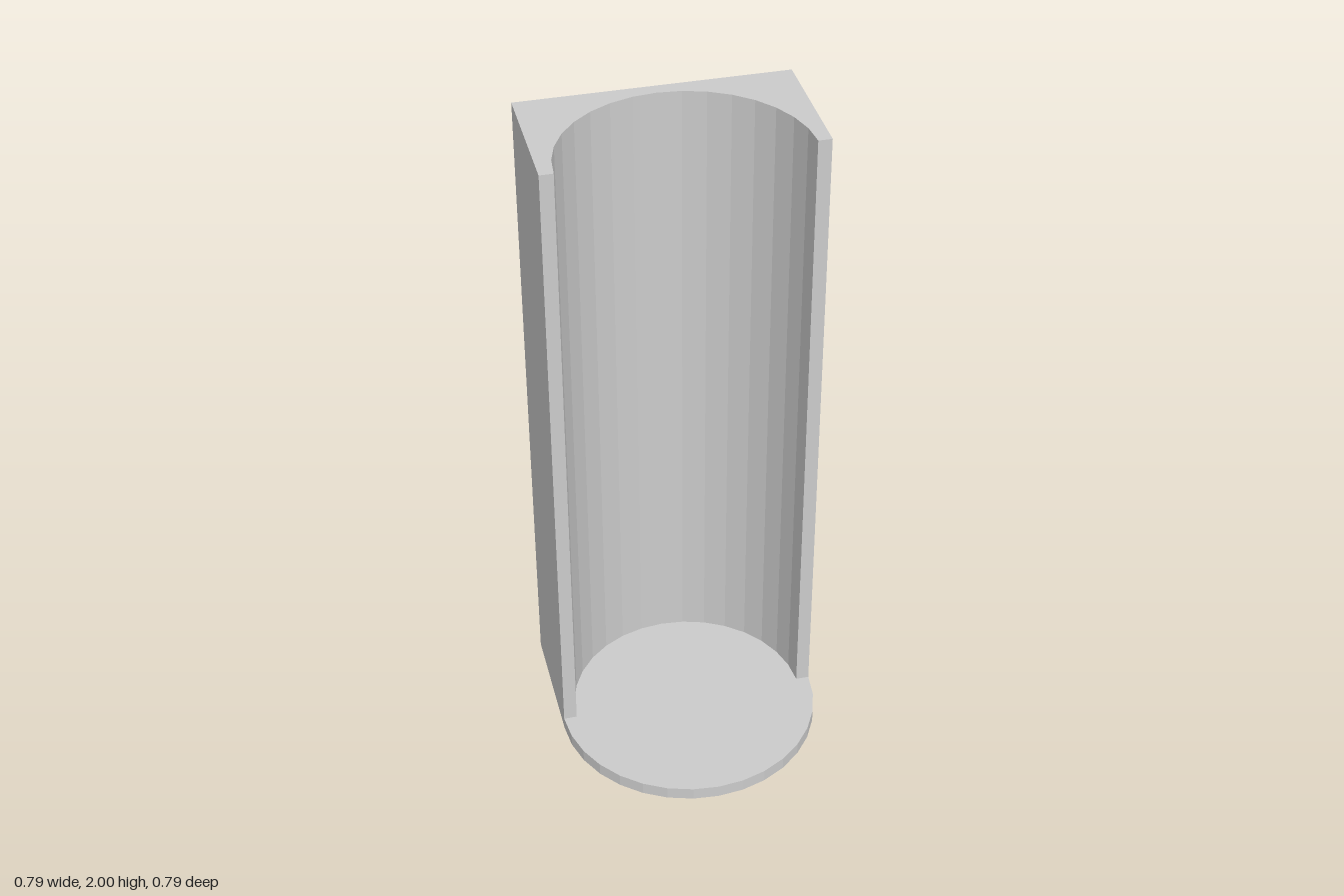
import * as THREE from 'three';

const OUTER = 0.397; // half width and rounded front radius
const INNER = 0.357; // radius of the hollow
const BASE = 0.04;   // floor thickness
const HEIGHT = 2;

// Extrude a plan outline (shape y points to the back) upwards
function extrudeUp(name, shape, bottom, top) {
  const geometry = new THREE.ExtrudeGeometry(shape, {
    depth: top - bottom, bevelEnabled: false, curveSegments: 8, // 16 facets per half circle
  });
  geometry.rotateX(-Math.PI / 2).translate(0, bottom, 0);
  const mesh = new THREE.Mesh(geometry,
    new THREE.MeshStandardMaterial({ color: 0xcccccc, flatShading: true }));
  mesh.name = name;
  return mesh;
}

export function createModel() {
  const group = new THREE.Group();
  group.name = 'halfRoundHolder';

  // Floor: square at the back, half round at the front
  const floor = new THREE.Shape();
  floor.moveTo(OUTER, 0);
  floor.lineTo(OUTER, OUTER);
  floor.lineTo(-OUTER, OUTER);
  floor.lineTo(-OUTER, 0);
  floor.absarc(0, 0, OUTER, Math.PI, 2 * Math.PI, false);
  group.add(extrudeUp('floorPlate', floor, 0, BASE));

  // Tall back block with a half-round channel facing the front
  const block = new THREE.Shape();
  block.moveTo(OUTER, 0);
  block.lineTo(OUTER, OUTER);
  block.lineTo(-OUTER, OUTER);
  block.lineTo(-OUTER, 0);
  block.lineTo(-INNER, 0);
  block.absarc(0, 0, INNER, Math.PI, 0, true);
  block.closePath();
  group.add(extrudeUp('channelBlock', block, BASE, HEIGHT));

  return group;
}
